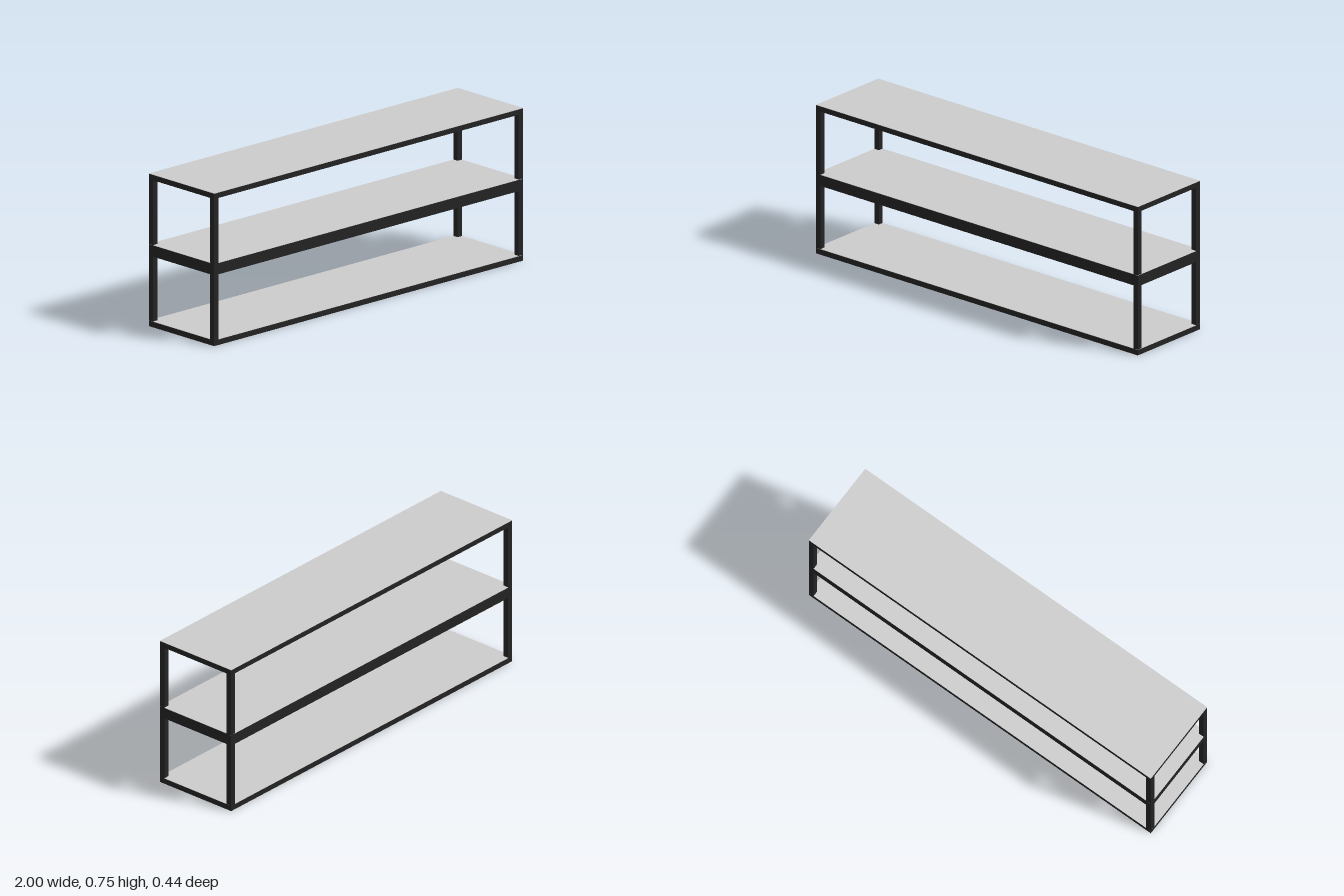
import * as THREE from 'three';

const W = 2, D = 0.445, H = 0.75; // overall size
const T = 0.028;                  // bar thickness
const SKIN = 0.002;               // panel thickness

export function createModel() {
  const group = new THREE.Group();
  const frameMat = new THREE.MeshStandardMaterial({ color: 0x222222 });
  const panelMat = new THREE.MeshStandardMaterial({ color: 0xcccccc });

  const box = (name, w, h, d, x, y, z, mat) => {
    const mesh = new THREE.Mesh(new THREE.BoxGeometry(w, h, d), mat);
    mesh.name = name;
    mesh.position.set(x, y, z);
    group.add(mesh);
  };

  // Corner posts
  for (const sx of [-1, 1])
    for (const sz of [-1, 1])
      box('cornerPost', T, H - SKIN, T, sx * (W - T) / 2, (H - SKIN) / 2, sz * (D - T) / 2, frameMat);

  // Each level: an open ring of rails with a thin panel laid on top
  const levels = [
    { name: 'bottom', y0: 0, y1: 0.029 },
    { name: 'middle', y0: 0.347, y1: 0.404 },
    { name: 'top', y0: H - 0.028, y1: H },
  ];
  for (const { name, y0, y1 } of levels) {
    const h = y1 - y0 - SKIN, y = y0 + h / 2;
    for (const s of [-1, 1]) {
      box(name + 'LongRail', W - 2 * T, h, T, 0, y, s * (D - T) / 2, frameMat);
      box(name + 'SideRail', T, h, D - 2 * T, s * (W - T) / 2, y, 0, frameMat);
    }
    box(name + 'Shelf', W, SKIN, D, 0, y1 - SKIN / 2, 0, panelMat);
  }
  return group;
}
